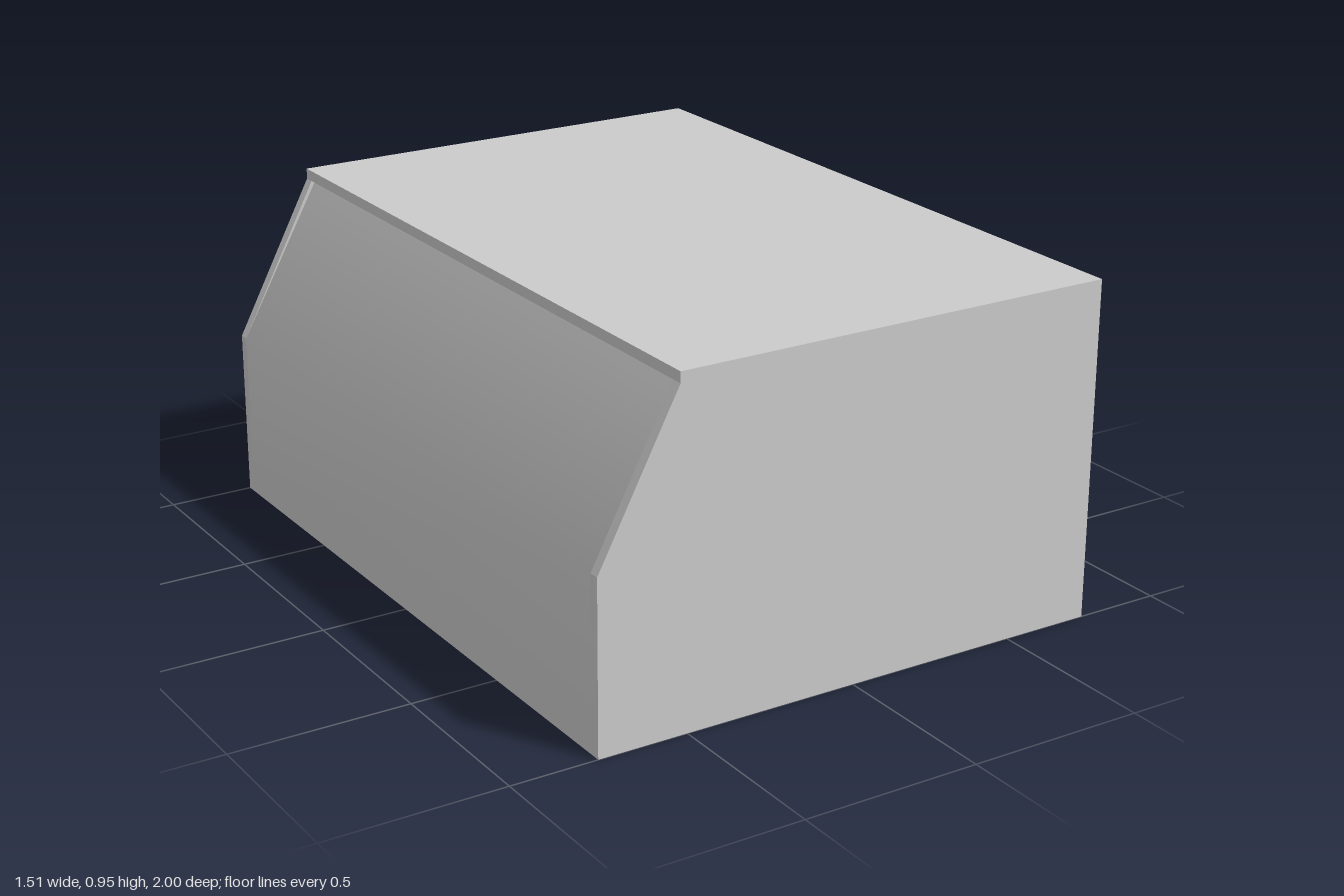
import * as THREE from 'three';

const grey = new THREE.MeshStandardMaterial({ color: 0xcccccc });
const greyDouble = new THREE.MeshStandardMaterial({ color: 0xcccccc, side: THREE.DoubleSide });
const dark = new THREE.MeshStandardMaterial({ color: 0x696969 });

const W = 0.755, LOW = 0.03, HIGH = 0.92, TOP = 0.95, T = 0.03; // half width, slab levels, wall thickness
const KNEE = 0.48, EAVE = -0.525; // slope start height, roof edge

// Upright oval, drawn in the plane of the door wall
function oval(path, r) {
  const cx = -0.0125, cy = 0.45, s = 0.1775;
  path.absarc(cx, cy + s, r, 0, Math.PI, false);
  path.absarc(cx, cy - s, r, Math.PI, Math.PI * 2, false);
  path.closePath();
  return path;
}

export function createModel() {
  const model = new THREE.Group();
  const add = (name, geometry, material = grey) => {
    const mesh = new THREE.Mesh(geometry, material);
    mesh.name = name;
    model.add(mesh);
    return mesh;
  };
  const box = (name, x0, x1, y0, y1, z0, z1, material) =>
    add(name, new THREE.BoxGeometry(x1 - x0, y1 - y0, z1 - z0), material)
      .position.set((x0 + x1) / 2, (y0 + y1) / 2, (z0 + z1) / 2);
  const extrude = (shape, depth) =>
    new THREE.ExtrudeGeometry(shape, { depth, bevelEnabled: false, curveSegments: 8 });

  // Floor and roof slabs
  box('floor', -W, W, 0, LOW, -1, 1);
  box('roof', EAVE, W, HIGH, TOP, -1, 1);

  // End walls with the cut-off corner
  const profile = new THREE.Shape([[-W, LOW], [W, LOW], [W, HIGH], [EAVE, HIGH], [-W, KNEE]]
    .map(([x, y]) => new THREE.Vector2(x, y)));
  add('frontWall', extrude(profile, T)).position.z = 1 - T;
  add('backWall', extrude(profile, T)).position.z = -1;

  // Sloped wall: one sheet, softly shaded across the knee
  const section = [[-W, LOW], [-W, KNEE], [EAVE + 0.012, HIGH]];
  const sheet = new THREE.PlaneGeometry(1, 1, 1, section.length - 1);
  const pos = sheet.attributes.position;
  section.forEach(([x, y], i) => {
    const row = section.length - 1 - i;
    pos.setXYZ(row * 2, x, y, -1 + T / 10);
    pos.setXYZ(row * 2 + 1, x, y, 1 - T / 10);
  });
  sheet.computeVertexNormals();
  add('slopedWall', sheet, greyDouble);

  // Door wall with its oval opening
  const wall = new THREE.Shape([[-1 + T, LOW], [1 - T, LOW], [1 - T, HIGH], [-1 + T, HIGH]]
    .map(([x, y]) => new THREE.Vector2(x, y)));
  wall.holes.push(oval(new THREE.Path(), 0.2225));
  const doorWall = add('doorWall', extrude(wall, T));
  doorWall.rotation.y = Math.PI / 2;
  doorWall.position.x = W - T;

  // Dark frame lining the opening
  const ring = oval(new THREE.Shape(), 0.2225);
  ring.holes.push(oval(new THREE.Path(), 0.1875));
  const frame = add('doorFrame', extrude(ring, 0.06));
  frame.material = dark;
  frame.rotation.y = Math.PI / 2;
  frame.position.x = W - 0.059;

  // Fine panel seam beside the door
  box('panelSeam', W - 0.01, W + 0.001, 0.05, 0.91, -0.333, -0.327, dark);

  return model;
}
